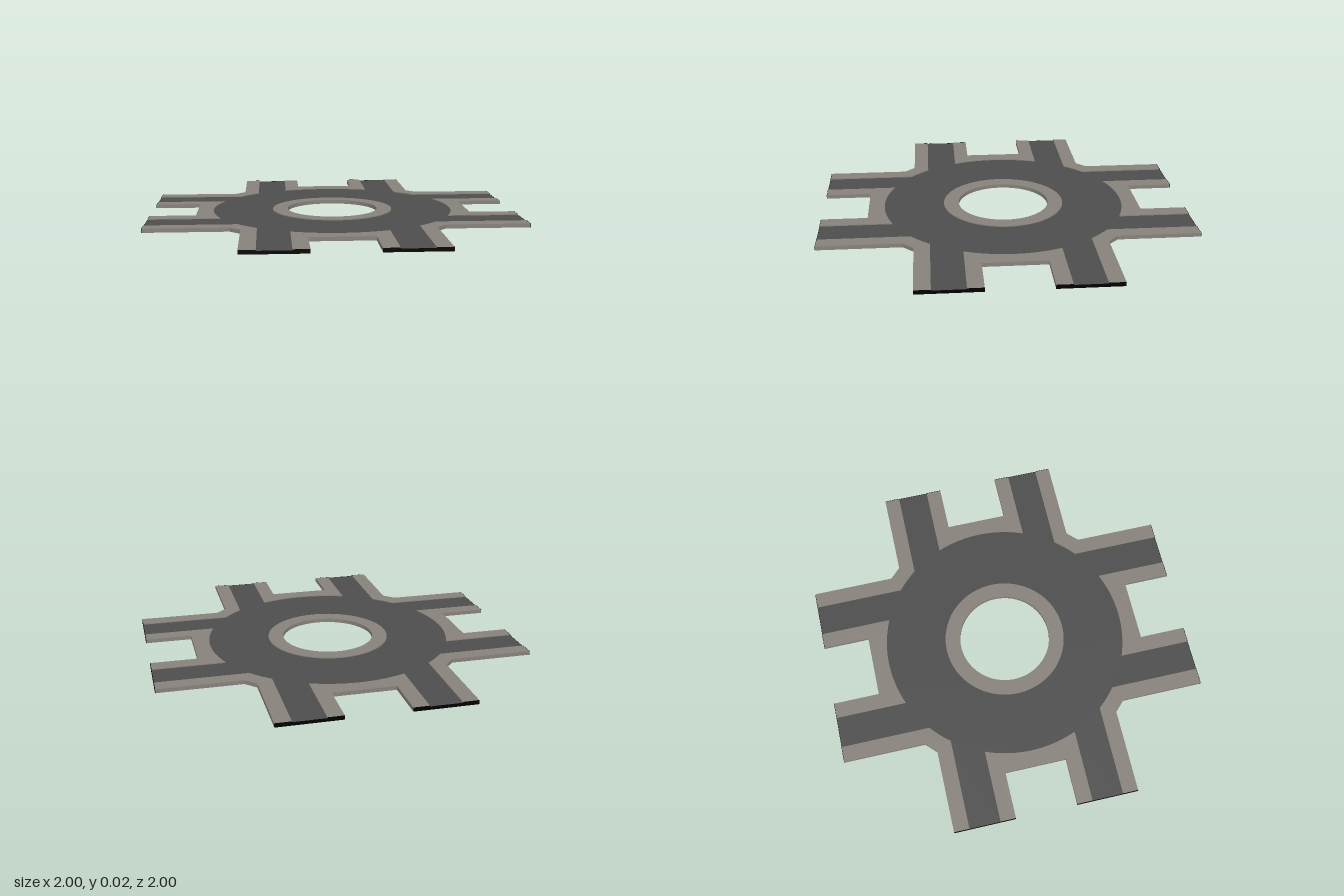
import * as THREE from 'three';

const ROAD_H = 0.0165, CURB_H = 0.021;   // slab heights
const IN = 0.25, OUT = 0.417;            // road lane edges
const CURB_IN = 0.167, CURB_OUT = 0.5;   // pavement edges
const R = 0.663, CAP = 0.002, END = 1 - CAP;

const road = new THREE.MeshStandardMaterial({ name: 'asphalt', color: 0x4d4d4d });
const pavement = new THREE.MeshStandardMaterial({ name: 'pavement', color: 0x86817a });
const black = new THREE.MeshStandardMaterial({ name: 'black', color: 0x000000 });

// Points along the road circle between two angles
function arc(a, b, n) {
  return Array.from({ length: n + 1 }, (_, i) => {
    const t = a + (b - a) * i / n;
    return new THREE.Vector2(R * Math.cos(t), R * Math.sin(t));
  });
}

const pts = (list) => list.map(([x, y]) => new THREE.Vector2(x, y));

// Flat slab lying on the ground
function slab(name, shape, height, material) {
  const geo = new THREE.ExtrudeGeometry(shape, { depth: height, bevelEnabled: false, curveSegments: 48 });
  geo.rotateX(-Math.PI / 2);
  const mesh = new THREE.Mesh(geo, material);
  mesh.name = name;
  return mesh;
}

function withHole(shape, radius) {
  const hole = new THREE.Path();
  hole.absarc(0, 0, radius, 0, Math.PI * 2, true);
  shape.holes.push(hole);
  return shape;
}

export function createModel() {
  const model = new THREE.Group();
  model.name = 'roundabout';
  const aIn = Math.asin(IN / R), aOut = Math.asin(OUT / R);
  const cornerArc = arc(aOut, Math.PI / 2 - aOut, 8);
  const sideArc = arc(-aIn, aIn, 24);

  // Road disc with eight arms, one outline
  const outline = [];
  for (let k = 0; k < 4; k++) {
    const quarter = [
      ...sideArc, ...pts([[END, IN], [END, OUT]]),
      ...cornerArc, ...pts([[OUT, END], [IN, END]]),
    ];
    const centre = new THREE.Vector2();
    quarter.forEach((p) => outline.push(p.clone().rotateAround(centre, k * Math.PI / 2)));
  }
  model.add(slab('road', withHole(new THREE.Shape(outline), 0.333), ROAD_H, road));

  // Curb ring round the central opening
  const ring = new THREE.Shape();
  ring.absarc(0, 0, 0.333, 0, Math.PI * 2, false);
  model.add(slab('islandCurb', withHole(ring, 0.25), CURB_H, pavement));

  // Pavement outside each diagonal corner, and the one between paired arms
  const corner = new THREE.Shape([
    ...pts([[END, OUT], [END, CURB_OUT], [0.556, CURB_OUT], [CURB_OUT, 0.556], [CURB_OUT, END], [OUT, END]]),
    ...cornerArc.slice().reverse(),
  ]);
  const between = new THREE.Shape([
    ...pts([[END, -IN], [END, -CURB_IN], [0.75, -CURB_IN], [0.75, CURB_IN], [END, CURB_IN], [END, IN]]),
    ...sideArc.slice().reverse(),
  ]);

  for (let k = 0; k < 4; k++) {
    const side = new THREE.Group();
    side.name = 'side' + (k + 1);
    side.rotation.y = k * Math.PI / 2;
    side.add(slab('cornerPavement', corner, CURB_H, pavement));
    side.add(slab('innerPavement', between, CURB_H, pavement));

    // Black end faces of the two arms
    for (const s of [-1, 1]) {
      for (const [a, b, h] of [[CURB_IN, IN, CURB_H], [IN, OUT, ROAD_H], [OUT, CURB_OUT, CURB_H]]) {
        const cap = new THREE.Mesh(new THREE.BoxGeometry(CAP, h, b - a), black);
        cap.name = 'armEnd';
        cap.position.set(1 - CAP / 2, h / 2, s * (a + b) / 2);
        side.add(cap);
      }
    }
    model.add(side);
  }
  return model;
}
